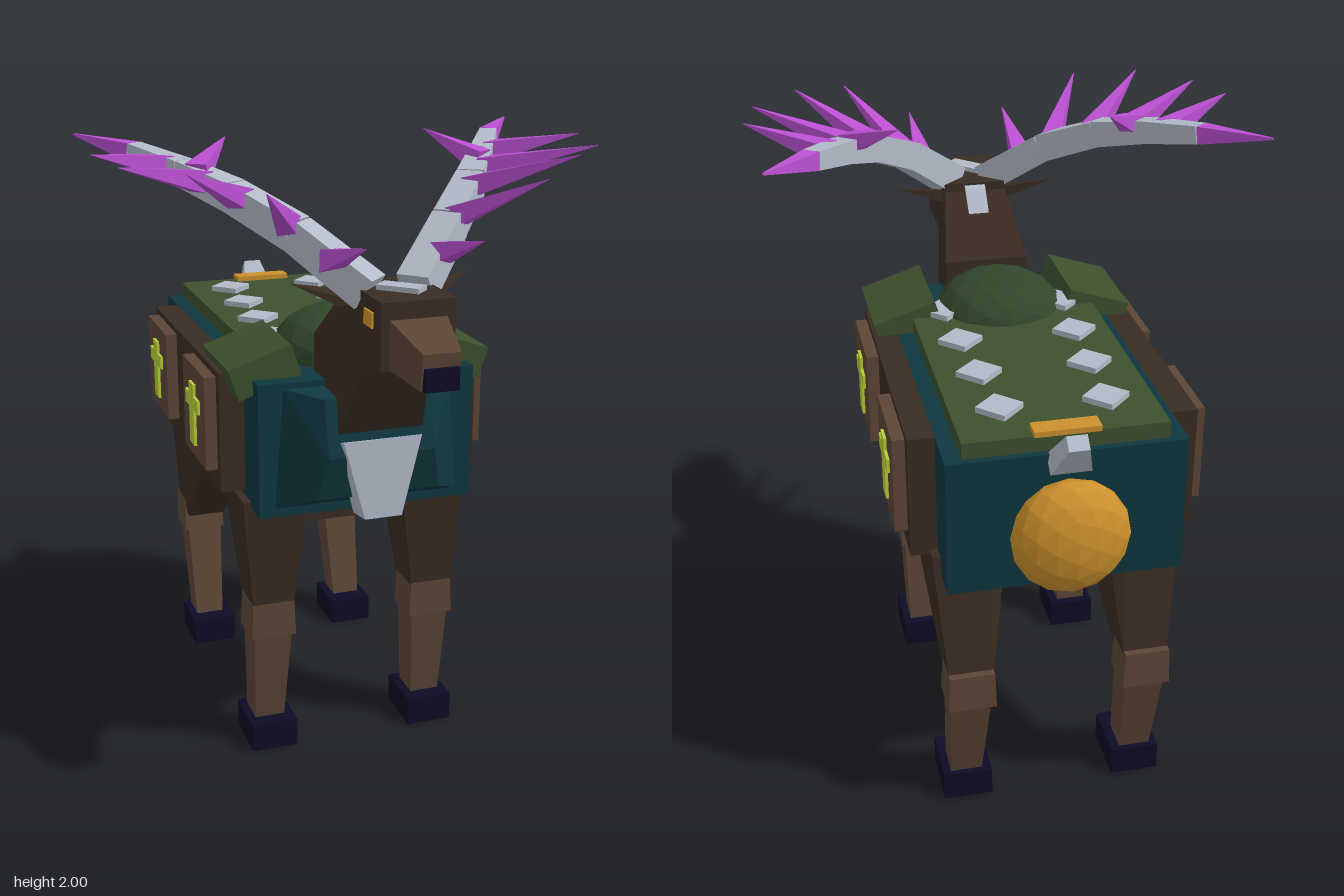
import * as THREE from 'three';
import { ConvexGeometry } from 'three/addons/geometries/ConvexGeometry.js';

const paint = (name, hex) => {
  const m = new THREE.MeshStandardMaterial({ color: hex });
  m.name = name;
  return m;
};

export function createModel() {
  const model = new THREE.Group();
  model.name = 'armouredStag';
  const bark = paint('dark brown', 0x3a2c22);
  const hide = paint('mid brown', 0x5c4636);
  const teal = paint('deep teal', 0x0f373f);
  const green = paint('moss green', 0x3c502d);
  const darkGreen = paint('dark green', 0x31472b);
  const silver = paint('silver', 0xb2bac8);
  const purple = paint('purple', 0xbb50d2);
  const gold = paint('gold', 0xcb902c);
  const navy = paint('navy', 0x0d0b25);
  const lime = paint('lime', 0xb8cf36);

  const V = (x, y, z) => new THREE.Vector3(x, y, z);
  const add = (name, geometry, material) => {
    const mesh = new THREE.Mesh(geometry, material);
    mesh.name = name;
    model.add(mesh);
    return mesh;
  };
  const facet = (g) => {
    const f = g.index ? g.toNonIndexed() : g;
    f.computeVertexNormals();
    return f;
  };
  // Box from its limits
  const box = (name, mat, x0, x1, y0, y1, z0, z1) => {
    const m = add(name, new THREE.BoxGeometry(Math.abs(x1 - x0), y1 - y0, Math.abs(z1 - z0)), mat);
    m.position.set((x0 + x1) / 2, (y0 + y1) / 2, (z0 + z1) / 2);
    return m;
  };
  // Faceted solid around corner points
  const solid = (name, mat, pts) => add(name, new ConvexGeometry(pts.map((p) => V(...p))), mat);
  // Corner pair mirrored across the middle
  const pair = (x, y, z) => [[x, y, z], [-x, y, z]];
  // Horizontal rectangle of corners, s mirrors x
  const ring = (s, x0, x1, y, z0, z1) => [[s * x0, y, z0], [s * x1, y, z0], [s * x0, y, z1], [s * x1, y, z1]];
  // Tapered four-sided bar between two points
  const bar = (name, mat, a, b, r0, r1) => {
    const g = new THREE.CylinderGeometry(r1 * Math.SQRT2, r0 * Math.SQRT2, a.distanceTo(b), 4, 1);
    g.rotateY(Math.PI / 4).rotateX(Math.PI / 2);
    const m = add(name, facet(g), mat);
    m.position.copy(a).lerp(b, 0.5);
    m.lookAt(b);
    return m;
  };
  const ball = (name, mat, x, y, z, rx, ry, rz) => {
    const g = new THREE.IcosahedronGeometry(1, 2).scale(rx, ry, rz);
    add(name, facet(g), mat).position.set(x, y, z);
  };

  // Trunk, belly and chest
  box('body', teal, -0.35, 0.35, 0.88, 1.31, -0.83, 0.4);
  box('belly', bark, -0.33, 0.33, 0.79, 0.9, -0.68, 0.25);
  solid('chest', teal, [
    ...pair(0.27, 1.29, 0.4), ...pair(0.3, 0.91, 0.4),
    ...pair(0.17, 1.275, 0.49), ...pair(0.17, 1.1, 0.535), ...pair(0.2, 0.96, 0.5),
  ]);
  solid('chestBlade', silver, [
    ...pair(0.125, 1.15, 0.54), ...pair(0.14, 1.14, 0.5),
    ...pair(0.06, 0.9, 0.55), ...pair(0.065, 0.89, 0.46), ...pair(0.075, 0.945, 0.45),
  ]);

  // Saddle blanket with studs, dome and rear fittings
  box('saddle', green, -0.3, 0.3, 1.31, 1.36, -0.81, 0.1);
  ball('saddleDome', darkGreen, 0, 1.33, 0.105, 0.21, 0.14, 0.21);
  box('rearPlate', gold, -0.097, 0.097, 1.36, 1.377, -0.82, -0.76);
  solid('tail', silver, [
    ...pair(0.06, 1.3, -0.81), ...pair(0.06, 1.26, -0.86),
    ...pair(0.03, 1.405, -0.905), ...pair(0.03, 1.375, -0.94),
  ]);
  ball('rearOrb', gold, 0, 1.06, -0.87, 0.175, 0.18, 0.1);

  // Neck and head
  solid('neck', bark, [
    ...pair(0.14, 1.14, 0.5), ...pair(0.14, 1.43, 0.3), ...pair(0.14, 1.2, 0.3),
    ...pair(0.1, 1.44, 0.66), ...pair(0.105, 1.61, 0.49),
  ]);
  box('head', bark, -0.11, 0.11, 1.44, 1.635, 0.5, 0.8);
  solid('snout', hide, [
    ...pair(0.085, 1.585, 0.8), ...pair(0.085, 1.445, 0.8),
    ...pair(0.055, 1.53, 0.97), ...pair(0.055, 1.425, 0.955),
  ]);
  box('nose', navy, -0.05, 0.05, 1.425, 1.49, 0.94, 0.975);
  const crest = box('headCrest', silver, -0.065, 0.065, 1.63, 1.65, 0.635, 0.695);
  crest.rotation.y = -Math.PI / 4;
  solid('neckPlate', silver, [
    ...pair(0.035, 1.63, 0.505), ...pair(0.035, 1.62, 0.485),
    ...pair(0.035, 1.5, 0.385), ...pair(0.035, 1.48, 0.4),
  ]);

  const antlerPath = [
    V(0.07, 1.62, 0.6), V(0.24, 1.77, 0.44), V(0.38, 1.86, 0.27),
    V(0.49, 1.91, 0.1), V(0.6, 1.95, -0.09), V(0.75, 1.985, -0.29),
  ];
  const antlerRadius = [0.05, 0.046, 0.042, 0.036, 0.028, 0.003];
  // Each spike: base, tip
  const spikes = [
    [V(0.17, 1.7, 0.52), V(0.17, 1.795, 0.84)],
    [V(0.25, 1.78, 0.42), V(0.41, 1.935, 0.735)],
    [V(0.36, 1.85, 0.3), V(0.59, 1.975, 0.58)],
    [V(0.45, 1.89, 0.19), V(0.74, 1.975, 0.41)],
    [V(0.53, 1.92, 0.05), V(0.78, 1.985, 0.2)],
    [V(0.46, 1.91, 0.17), V(0.33, 1.995, 0)],
  ];

  for (const s of [1, -1]) {
    const side = s > 0 ? 'left' : 'right';
    const flip = (p) => V(s * p.x, p.y, p.z);

    // Eye and ear
    box(side + 'Eye', gold, s * 0.1, s * 0.117, 1.55, 1.595, 0.675, 0.74);
    solid(side + 'Ear', bark, [
      [s * 0.1, 1.61, 0.51], [s * 0.1, 1.565, 0.51], [s * 0.1, 1.59, 0.59],
      [s * 0.15, 1.575, 0.57], [s * 0.275, 1.635, 0.49],
    ]);

    // Antler segments, the last one purple, and spikes
    for (let i = 0; i < 5; i++) {
      bar(side + 'Antler' + (i + 1), i < 4 ? silver : purple,
        flip(antlerPath[i]), flip(antlerPath[i + 1]), antlerRadius[i], antlerRadius[i + 1]);
    }
    spikes.forEach(([a, b], i) => bar(side + 'AntlerSpike' + (i + 1), purple, flip(a), flip(b), 0.034, 0.001));

    // Flank panel, plaques and crosses
    box(side + 'FlankPanel', bark, s * 0.34, s * 0.43, 0.92, 1.31, -0.67, 0.24);
    for (const z of [0.06, -0.485]) {
      box(side + 'Plaque', hide, s * 0.42, s * 0.468, 0.985, 1.29, z - 0.145, z + 0.145);
      box(side + 'CrossUpright', lime, s * 0.468, s * 0.477, 1.03, 1.235, z - 0.03, z + 0.03);
      box(side + 'CrossArm', lime, s * 0.468, s * 0.4765, 1.15, 1.195, z - 0.083, z + 0.083);
    }

    // Tilted shoulder pad
    const pad = box(side + 'ShoulderPad', green, s * 0.205, s * 0.415, 1.278, 1.382, 0.025, 0.345);
    pad.rotation.z = -s * 0.32;

    // Diamond studs
    [[0.157, -0.64], [0.17, -0.41], [0.183, -0.18], [0.196, 0.05]].forEach(([x, z], i) => {
      const stud = box(side + 'Stud' + (i + 1), silver, s * x - 0.05, s * x + 0.05, 1.355, 1.378, z - 0.05, z + 0.05);
      stud.rotation.y = Math.PI / 4;
    });

    // Front leg
    solid(side + 'FrontThigh', bark, [
      ...ring(s, 0.16, 0.375, 0.9, 0.05, 0.3), ...ring(s, 0.21, 0.34, 0.48, 0.15, 0.28),
    ]);
    solid(side + 'FrontKnee', hide, [
      ...ring(s, 0.205, 0.345, 0.53, 0.15, 0.285), ...ring(s, 0.2, 0.35, 0.41, 0.145, 0.285),
    ]);
    solid(side + 'FrontShin', hide, [
      ...ring(s, 0.21, 0.34, 0.45, 0.15, 0.28), ...ring(s, 0.23, 0.33, 0.09, 0.13, 0.235),
    ]);
    box(side + 'FrontHoof', navy, s * 0.2, s * 0.355, 0, 0.095, 0.1, 0.29);

    // Back leg
    solid(side + 'BackThigh', bark, [
      ...ring(s, 0.16, 0.375, 0.88, -0.72, -0.2), [s * 0.375, 0.94, -0.72], [s * 0.2, 0.94, -0.72],
      ...ring(s, 0.21, 0.34, 0.49, -0.785, -0.635),
    ]);
    solid(side + 'BackKnee', hide, [
      ...ring(s, 0.205, 0.345, 0.545, -0.8, -0.68), ...ring(s, 0.2, 0.35, 0.42, -0.8, -0.665),
    ]);
    solid(side + 'BackShin', hide, [
      ...ring(s, 0.21, 0.34, 0.47, -0.79, -0.67), ...ring(s, 0.23, 0.33, 0.09, -0.7, -0.595),
    ]);
    box(side + 'BackHoof', navy, s * 0.2, s * 0.355, 0, 0.095, -0.72, -0.53);
  }
  return model;
}
